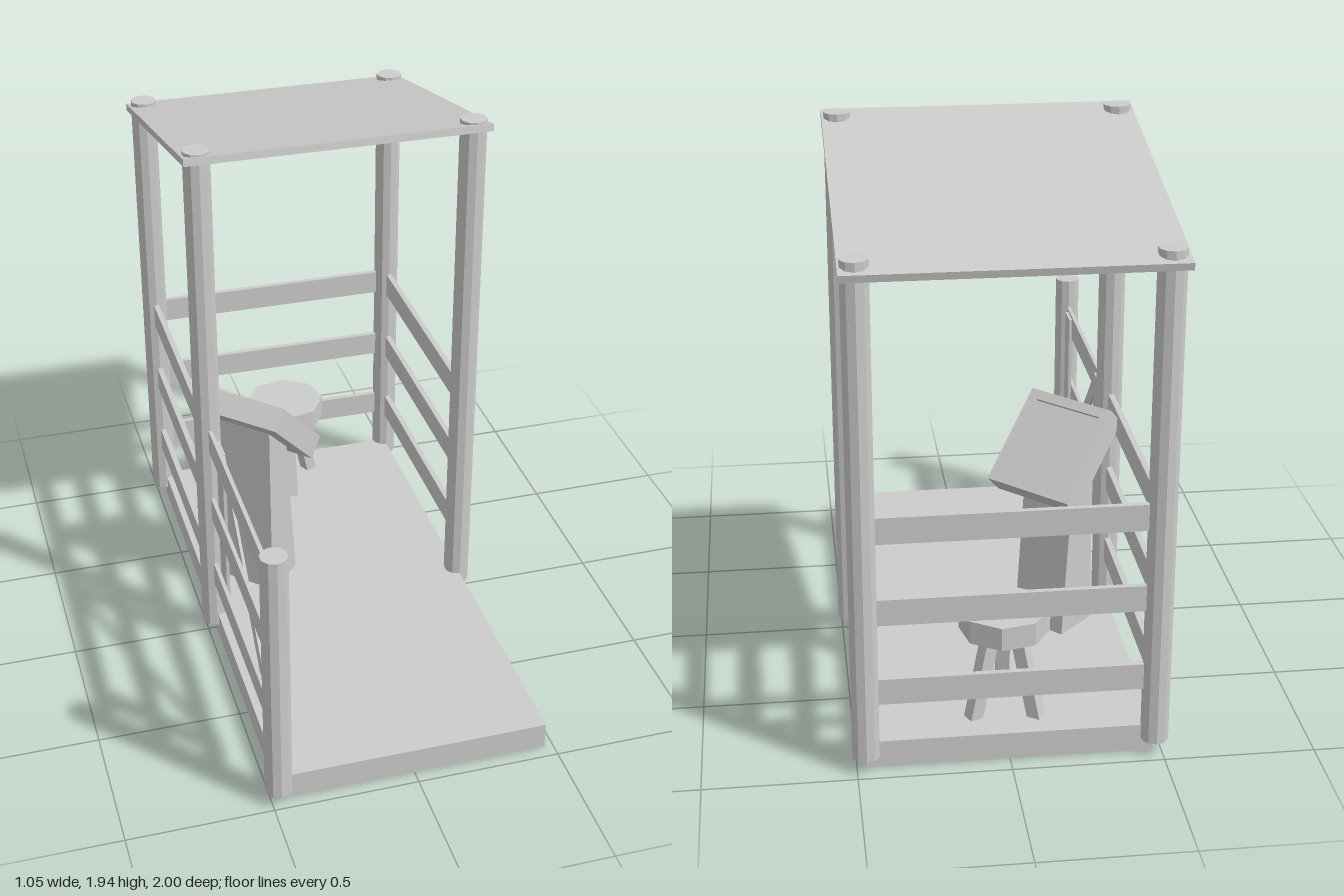
import * as THREE from 'three';

const grey = new THREE.MeshStandardMaterial({ color: 0xcccccc, flatShading: true });

export function createModel() {
  const model = new THREE.Group();

  const add = (parent, name, geometry, x = 0, y = 0, z = 0) => {
    const mesh = new THREE.Mesh(geometry, grey);
    mesh.name = name;
    mesh.position.set(x, y, z);
    parent.add(mesh);
    return mesh;
  };
  const box = (parent, name, w, h, d, x, y, z) =>
    add(parent, name, new THREE.BoxGeometry(w, h, d), x, y, z);
  // Side profile given as [z, y] points, extruded along x and centred
  const sideProfile = (points, width) => {
    const shape = new THREE.Shape(points.map(([z, y]) => new THREE.Vector2(z, y)));
    const geometry = new THREE.ExtrudeGeometry(shape, { depth: width, bevelEnabled: false });
    return geometry.translate(0, 0, -width / 2).rotateY(-Math.PI / 2);
  };

  // Floor slab
  box(model, 'platform', 0.94, 0.095, 1.885, 0, 0.0475, 0.008);

  // Posts: x, z, top
  const left = 0.47, right = -0.475, backZ = -0.94, midZ = 0.005, frontZ = 0.955;
  for (const [x, z, top] of [
    [left, backZ, 1.735], [right, backZ, 1.735],
    [left, midZ, 1.94], [right, midZ, 1.94], [right, frontZ, 1.0],
  ]) {
    add(model, 'post', new THREE.CylinderGeometry(0.046, 0.046, top - 0.05, 10), x, (top + 0.05) / 2, z);
  }

  // Sloping roof
  const roof = box(model, 'roof', 1.05, 0.025, 1.087, -0.004, 1.807, -0.468);
  roof.rotation.x = -0.217;

  // Three rails on each closed side and on the gate
  for (const y of [0.286, 0.57, 0.854]) {
    box(model, 'backRail', 0.9, 0.09, 0.02, 0, y, backZ);
    box(model, 'leftRail', 0.02, 0.09, 0.9, left, y, -0.467);
    box(model, 'rightRail', 0.02, 0.09, 0.9, right, y, -0.467);
    box(model, 'gateRail', 0.014, 0.09, 0.85, -0.473, y, 0.465);
  }

  // Gate uprights and diagonal brace on the inner face
  for (const z of [0.153, 0.813]) box(model, 'gateUpright', 0.012, 0.635, 0.092, -0.46, 0.572, z);
  add(model, 'gateBrace',
    sideProfile([[0.767, 0.255], [0.767, 0.335], [0.2, 0.887], [0.2, 0.81]], 0.01), -0.461);

  // Console, turned towards the stool
  const consoleGroup = new THREE.Group();
  consoleGroup.name = 'console';
  consoleGroup.rotation.y = Math.PI * 0.75;
  model.add(consoleGroup);
  add(consoleGroup, 'consoleColumn',
    sideProfile([[-0.138, 0.09], [0.035, 0.09], [-0.02, 0.68], [-0.138, 0.8]], 0.207), 0.306);

  // Tilted head: a solid back with a raised frame around the screen
  const head = new THREE.Group();
  head.name = 'consoleHead';
  head.position.set(0.306, 0.757, -0.047);
  head.rotation.x = -Math.PI / 4;
  consoleGroup.add(head);
  const w = 0.17, h = 0.183, inset = 0.035;
  const rect = (Type, a, b) => new Type([[-a, -b], [a, -b], [a, b], [-a, b]]
    .map(([x, y]) => new THREE.Vector2(x, y)));
  box(head, 'screenBack', w * 2, h * 2, 0.073, 0, 0, -0.0075);
  const frame = rect(THREE.Shape, w, h);
  frame.holes.push(rect(THREE.Path, w - inset, h - inset));
  add(head, 'screenFrame',
    new THREE.ExtrudeGeometry(frame, { depth: 0.015, bevelEnabled: false }), 0, 0, 0.029);

  // Three-legged stool
  const stool = new THREE.Group();
  stool.name = 'stool';
  stool.position.set(0, 0, -0.768);
  model.add(stool);
  const seat = add(stool, 'stoolSeat', new THREE.CylinderGeometry(0.15, 0.15, 0.08, 8), 0, 0.43, 0);
  seat.rotation.y = -0.175;
  for (let i = 0; i < 3; i++) {
    const leg = add(stool, 'stoolLeg', sideProfile(
      [[0.097, 0.09], [0.143, 0.09], [0.073, 0.4], [0.027, 0.4]], 0.045));
    leg.rotation.y = -0.07 + (i * Math.PI * 2) / 3;
  }

  return model;
}
